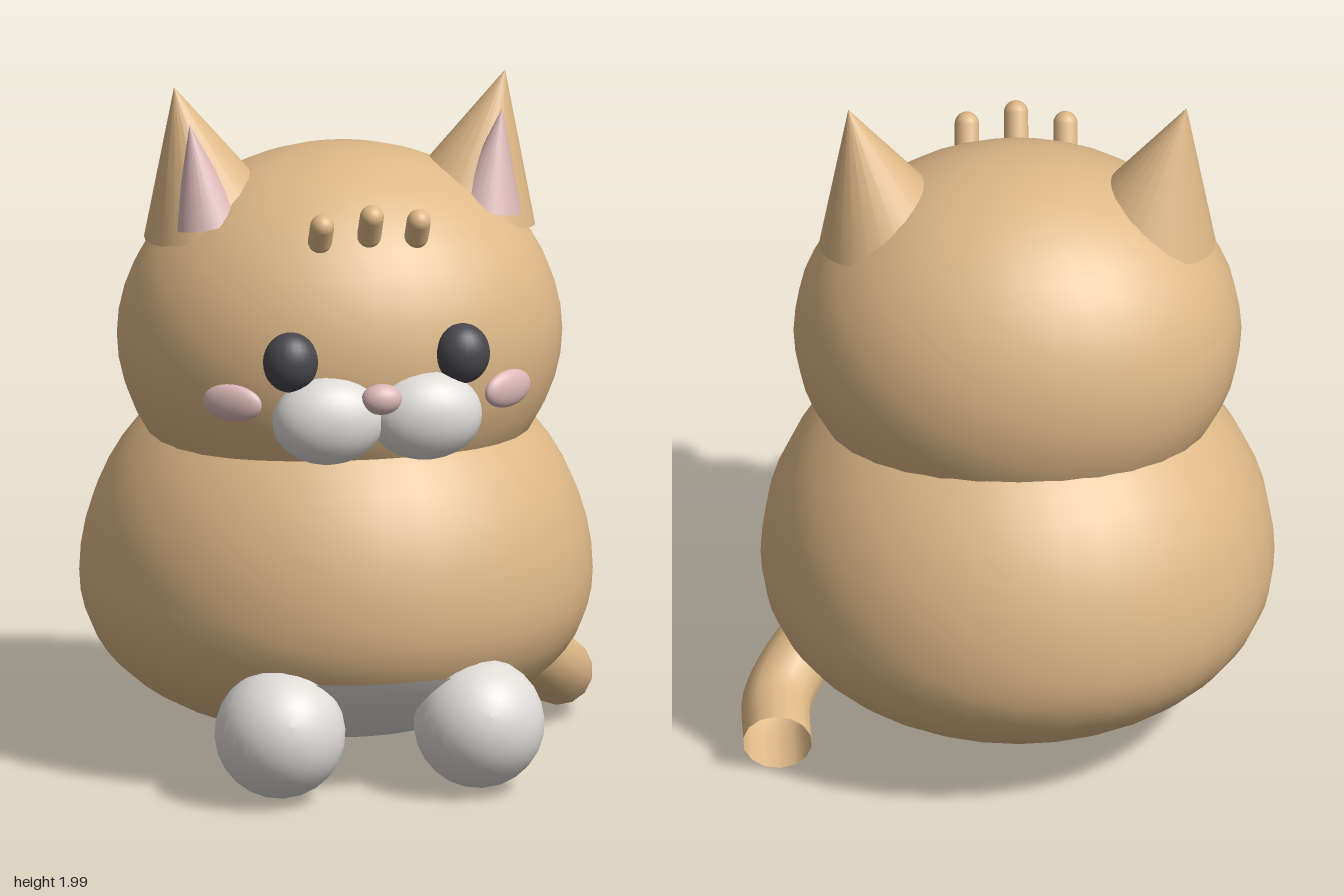
import * as THREE from 'three';

const mat = (name, color, extra = {}) => {
  const m = new THREE.MeshStandardMaterial({ color, ...extra });
  m.name = name;
  return m;
};

export function createModel() {
  const tan = mat('tan fur', 0xdeb887, { side: THREE.DoubleSide });
  const white = mat('white fur', 0xdfdcd8, { side: THREE.DoubleSide });
  const pink = mat('pink skin', 0xdcb8b8);
  const dark = mat('dark eye', 0x48464b);
  const CX = -0.035; // symmetry plane of the body and face
  const cat = new THREE.Group();
  cat.name = 'cat';

  const add = (name, geometry, material) => {
    const mesh = new THREE.Mesh(geometry, material);
    mesh.name = name;
    cat.add(mesh);
    return mesh;
  };
  const ellipsoid = (name, material, pos, radii, w = 24, h = 16) => {
    const mesh = add(name, new THREE.SphereGeometry(1, w, h), material);
    mesh.position.set(...pos);
    mesh.scale.set(...radii);
    return mesh;
  };
  // Place a y-axis solid, centred on its length, between two points
  const span = (mesh, from, to) => {
    const a = new THREE.Vector3(...from), b = new THREE.Vector3(...to);
    mesh.position.copy(a).add(b).multiplyScalar(0.5);
    mesh.quaternion.setFromUnitVectors(new THREE.Vector3(0, 1, 0), b.sub(a).normalize());
    return mesh;
  };
  const distance = (a, b) => new THREE.Vector3(...a).distanceTo(new THREE.Vector3(...b));

  // Body: pear profile, fuller below the widest line
  const profile = [];
  for (let i = 0; i <= 28; i++) {
    const t = -Math.PI / 2 + (i / 28) * Math.PI;
    const s = Math.sin(t), c = Math.max(Math.cos(t), 0);
    const e = s < 0 ? 2 / 2.2 : 1;
    const y = 0.53 + (s < 0 ? -0.45 * Math.pow(-s, e) : 0.69 * s);
    profile.push(new THREE.Vector2(0.74 * Math.pow(c, e), y));
  }
  const body = add('body', new THREE.LatheGeometry(profile, 32), tan);
  body.position.set(CX, 0, -0.035);
  body.scale.z = 0.98;

  // Belly patch lying just over the lower front of the body
  const patch = profile.filter((p) => p.y < 0.37 && p.x > 0.2)
    .map((p) => new THREE.Vector2(p.x + 0.007, p.y - 0.004));
  const belly = add('bellyPatch', new THREE.LatheGeometry(patch, 12, -0.48, 0.96), white);
  belly.position.copy(body.position);
  belly.scale.z = 0.98;

  // Head
  ellipsoid('head', tan, [CX, 1.25, 0.015], [0.645, 0.55, 0.555], 32, 24);

  for (const s of [-1, 1]) {
    const side = s > 0 ? 'left' : 'right';
    const at = (x, y, z) => [CX + s * x, y, z];

    // Ears with pink inner cones
    const cone = (name, r, from, to, m) =>
      span(add(name, new THREE.ConeGeometry(r, distance(from, to), 24), m), from, to);
    cone(side + 'Ear', 0.2, at(0.378, 1.6, 0.015), at(0.487, 2.0, 0.015), tan);
    cone(side + 'InnerEar', 0.1, at(0.41, 1.62, 0.125), at(0.46, 1.91, 0.105), pink);

    // Face
    ellipsoid(side + 'Eye', dark, at(0.253, 1.3, 0.53), [0.08, 0.088, 0.07]);
    ellipsoid(side + 'Muzzle', white, at(0.143, 1.125, 0.54), [0.165, 0.13, 0.11]);
    const cheek = ellipsoid(side + 'Cheek', pink, at(0.405, 1.165, 0.44), [0.092, 0.055, 0.03]);
    cheek.rotation.y = s * 0.62;

    // Foot: large front ball tapering to a small heel
    const toe = at(0.293, 0.21, 0.572), heel = at(0.293, 0.125, 0.325);
    const R = 0.189, r = 0.115, d = distance(toe, heel);
    const tilt = Math.asin((R - r) / d);
    const foot = [];
    for (let i = 0; i <= 6; i++) {
      const a = -Math.PI / 2 + (i / 6) * (Math.PI / 2 + tilt);
      foot.push(new THREE.Vector2(Math.max(r * Math.cos(a), 0), r * Math.sin(a) - d / 2));
    }
    // The heel arc stops where the straight taper meets it
    foot.splice(0, foot.length);
    for (let i = 0; i <= 8; i++) {
      const a = -Math.PI / 2 + (i / 8) * (Math.PI / 2 - tilt);
      foot.push(new THREE.Vector2(Math.max(r * Math.cos(a), 0), r * Math.sin(a) - d / 2));
    }
    for (let i = 0; i <= 12; i++) {
      const a = -tilt + (i / 12) * (Math.PI / 2 + tilt);
      foot.push(new THREE.Vector2(Math.max(R * Math.cos(a), 0), R * Math.sin(a) + d / 2));
    }
    span(add(side + 'Foot', new THREE.LatheGeometry(foot, 24), white), heel, toe);
  }

  // Nose
  ellipsoid('nose', pink, [CX, 1.195, 0.602], [0.06, 0.045, 0.042]);

  // Three little forehead tufts
  for (const i of [-1, 0, 1]) {
    const lift = i ? 0 : 0.025;
    const from = [CX + i * 0.142, 1.625 + lift / 2, 0.415 + lift / 2];
    const to = [CX + i * 0.142, 1.677 + lift, 0.446 + lift * 0.8];
    const tuft = new THREE.CapsuleGeometry(0.035, distance(from, to), 6, 16);
    span(add('foreheadTuft', tuft, tan), from, to);
  }

  // Tail: open tube curling backwards
  const path = new THREE.CatmullRomCurve3([
    [0.42, 0.35, 0.02], [0.55, 0.245, -0.05], [0.655, 0.145, -0.21], [0.66, 0.11, -0.405],
  ].map((p) => new THREE.Vector3(...p)));
  add('tail', new THREE.TubeGeometry(path, 20, 0.1, 14), tan);

  return cat;
}
